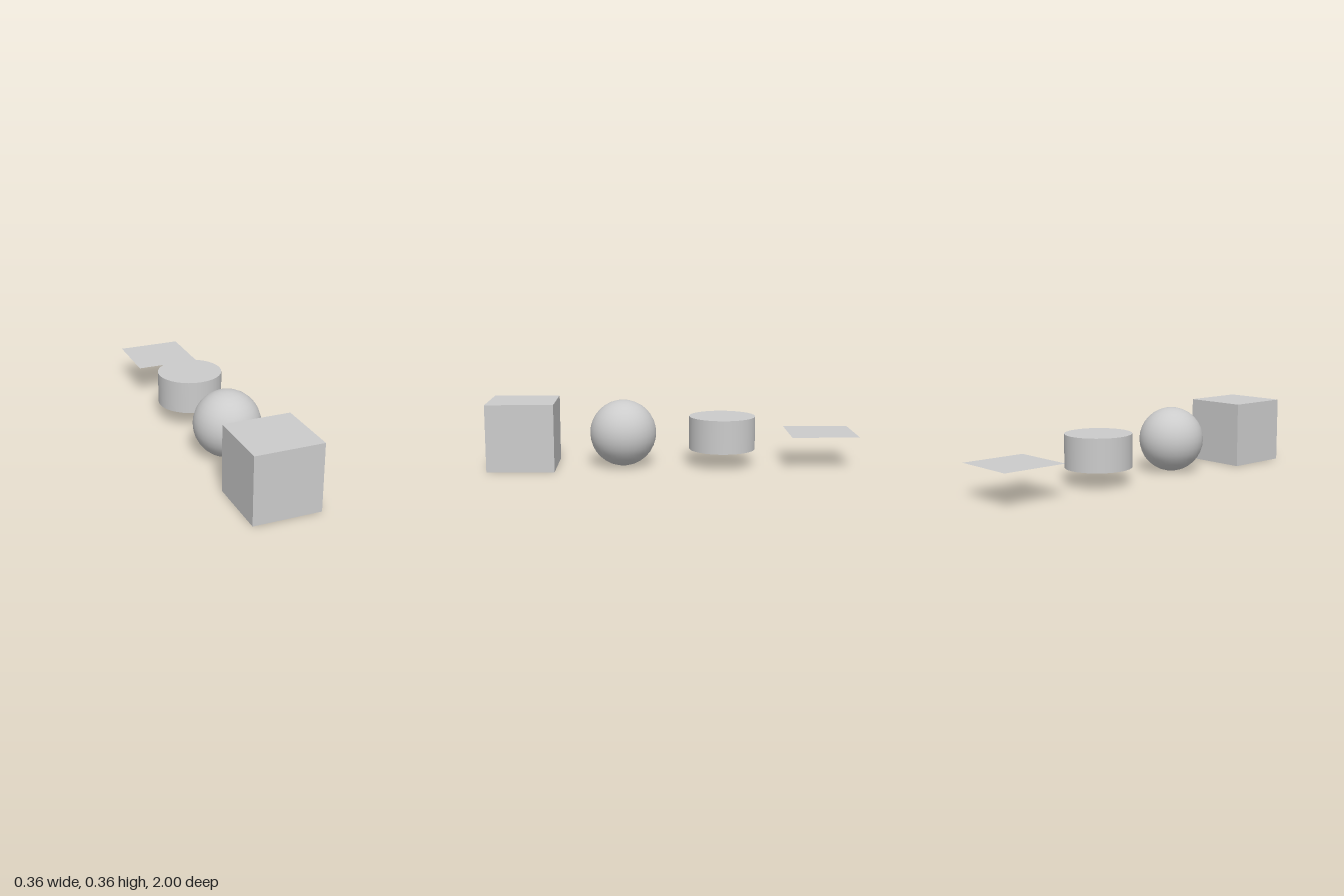
import * as THREE from 'three';

const SIZE = 4 / 11;          // width of every shape
const STEP = SIZE * 1.5;      // spacing of centres along z

export function createModel() {
  const group = new THREE.Group();
  const solid = new THREE.MeshStandardMaterial({ color: 0xcccccc });
  const sheet = new THREE.MeshStandardMaterial({ color: 0xcccccc, side: THREE.DoubleSide });

  // Four primitives in a row, front to back, all centred at the same height
  const parts = [
    ['cube', new THREE.BoxGeometry(SIZE, SIZE, SIZE), solid],
    ['sphere', new THREE.SphereGeometry(SIZE / 2, 32, 16), solid],
    ['cylinder', new THREE.CylinderGeometry(SIZE / 2, SIZE / 2, SIZE / 2, 32), solid],
    ['plane', new THREE.PlaneGeometry(SIZE, SIZE).rotateX(-Math.PI / 2), sheet],
  ];

  parts.forEach(([name, geometry, material], i) => {
    const mesh = new THREE.Mesh(geometry, material);
    mesh.name = name;
    mesh.position.set(0, SIZE / 2, (1.5 - i) * STEP);
    group.add(mesh);
  });

  return group;
}
